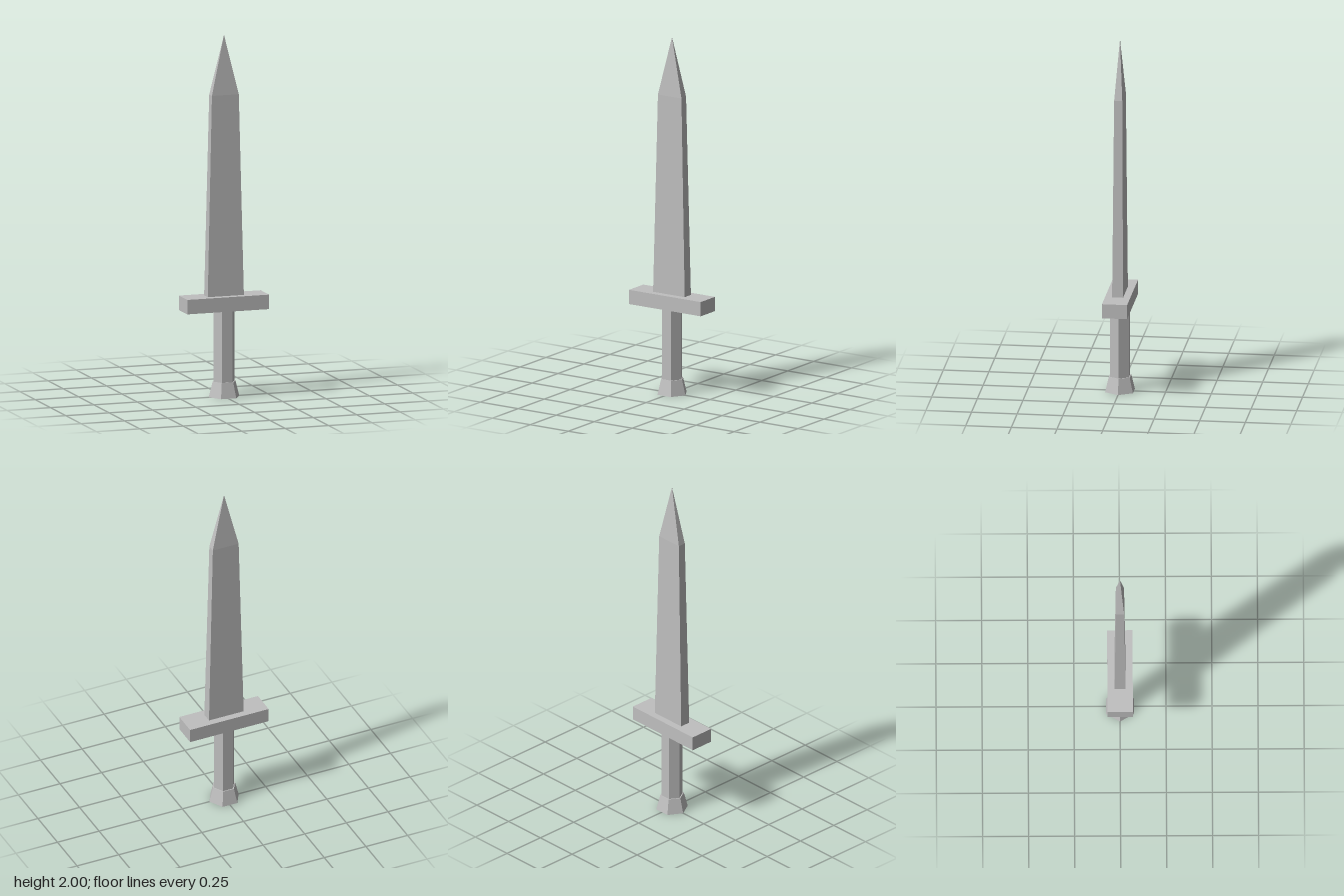
import * as THREE from 'three';

const steel = new THREE.MeshStandardMaterial({ color: 0xbfbfbf });
steel.name = 'steel grey';

// Faceted prism between two heights, with a corner or a flat side towards +x
function prism(name, sides, rTop, rBottom, y0, y1, { turn = Math.PI / 2, sx = 1, sz = 1, open = false } = {}) {
  const shape = new THREE.CylinderGeometry(rTop, rBottom, y1 - y0, sides, 1, open, turn)
    .scale(sx, 1, sz)
    .translate(0, (y0 + y1) / 2, 0)
    .toNonIndexed();
  shape.computeVertexNormals();
  const mesh = new THREE.Mesh(shape, steel);
  mesh.name = name;
  return mesh;
}

export function createModel() {
  const dagger = new THREE.Group();
  dagger.name = 'dagger';

  // Hexagonal pommel and grip
  dagger.add(prism('pommel', 6, 0.066, 0.088, 0, 0.085));
  dagger.add(prism('grip', 6, 0.06, 0.06, 0.085, 0.48));

  // Crossguard bar
  const guard = new THREE.Mesh(new THREE.BoxGeometry(0.472, 0.08, 0.138), steel);
  guard.name = 'crossguard';
  guard.position.y = 0.52;
  dagger.add(guard);

  // Tapering rectangular blade, ending in a four-sided point
  const corner = Math.SQRT2; // gives a square of half-width 1 before scaling
  const section = { turn: Math.PI / 4, sx: 0.104, sz: 0.03, open: true };
  const taper = 0.745;
  dagger.add(prism('blade', 4, corner * taper, corner, 0.56, 1.67, section));
  dagger.add(prism('bladePoint', 4, 0, corner * taper, 1.67, 2, section));

  return dagger;
}
